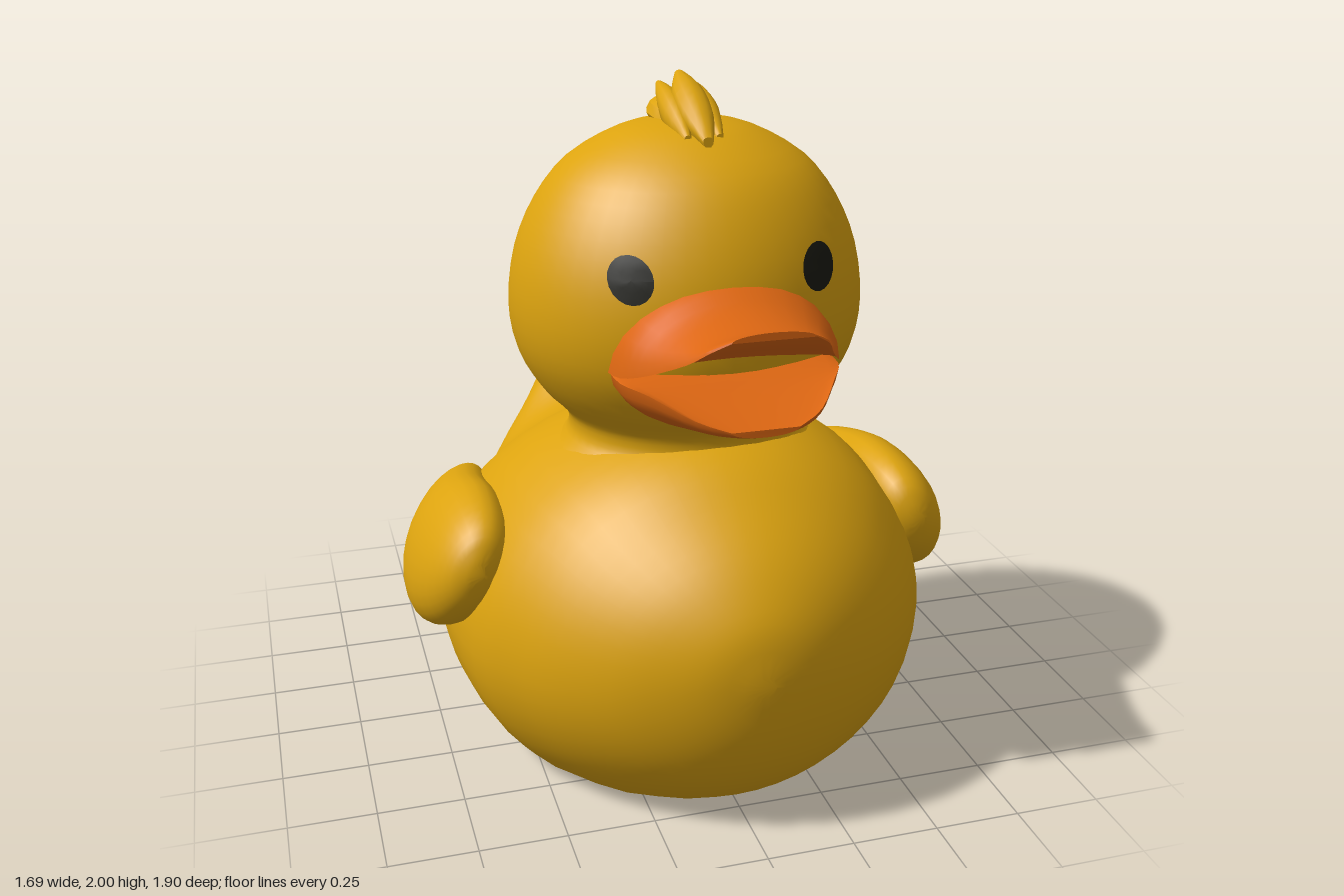
import * as THREE from 'three';
import { toCreasedNormals } from 'three/addons/utils/BufferGeometryUtils.js';

const paint = (name, color) => {
  const m = new THREE.MeshStandardMaterial({ color });
  m.name = name;
  return m;
};

// Smooth interpolation through rows of numbers
function smoothRows(rows, steps) {
  const out = [];
  const at = i => rows[Math.min(Math.max(i, 0), rows.length - 1)];
  for (let i = 0; i < rows.length - 1; i++) {
    for (let k = 0; k < steps; k++) {
      const t = k / steps;
      out.push(rows[i].map((_, n) => {
        const [a, b, c, d] = [at(i - 1)[n], at(i)[n], at(i + 1)[n], at(i + 2)[n]];
        return b + 0.5 * t * (c - a + t * (2 * a - 5 * b + 4 * c - d + t * (3 * (b - c) + d - a)));
      }));
    }
  }
  out.push(rows[rows.length - 1]);
  return out;
}

// Closed skin over cross-sections that run from front (+z) to back
function loft(rows, ring, sides, steps = 3, crease = 0.6) {
  const sections = smoothRows(rows, steps);
  const pos = [], index = [];
  for (const row of sections) {
    for (let j = 0; j < sides; j++) pos.push(...ring(row, (j / sides) * Math.PI * 2));
  }
  const last = sections.length - 1;
  for (let i = 0; i < last; i++) {
    for (let j = 0; j < sides; j++) {
      const k = (j + 1) % sides;
      const a = i * sides + j, b = i * sides + k;
      index.push(a, a + sides, b, b, a + sides, b + sides);
    }
  }
  for (let j = 1; j < sides - 1; j++) {
    index.push(0, j, j + 1);
    index.push(last * sides, last * sides + j + 1, last * sides + j);
  }
  const geo = new THREE.BufferGeometry();
  geo.setAttribute('position', new THREE.Float32BufferAttribute(pos, 3));
  geo.setIndex(index);
  return toCreasedNormals(geo, crease);
}

// Row: z, half width, height of widest point, top, bottom; kept above the ground
const oval = (offset = 0) => ([z, w, mid, top, bottom], a) => {
  const s = Math.sin(a);
  return [offset + w * Math.cos(a), Math.max(0, mid + (s > 0 ? top - mid : mid - bottom) * s), z];
};

export function createModel() {
  const duck = new THREE.Group();
  duck.name = 'duck';
  const yellow = paint('yellow', 0xdca30f);
  const orange = paint('orange', 0xdc6612);
  const black = paint('black', 0x1a1a12);
  const add = (name, geo, mat) => {
    const mesh = new THREE.Mesh(geo, mat);
    mesh.name = name;
    duck.add(mesh);
    return mesh;
  };

  // Body with flat base and upturned tail
  add('body', loft([
    [0.95, 0.03, 0.5, 0.53, 0.47],
    [0.93, 0.14, 0.5, 0.64, 0.33],
    [0.88, 0.26, 0.48, 0.73, 0.2],
    [0.8, 0.39, 0.45, 0.82, 0.09],
    [0.68, 0.52, 0.43, 0.91, -0.01],
    [0.55, 0.61, 0.42, 0.99, -0.09],
    [0.38, 0.69, 0.4, 1.03, -0.15],
    [0.1, 0.73, 0.4, 1.04, -0.17],
    [-0.12, 0.71, 0.4, 0.99, -0.16],
    [-0.3, 0.65, 0.42, 0.88, -0.13],
    [-0.45, 0.575, 0.42, 0.835, -0.06],
    [-0.55, 0.515, 0.43, 0.83, 0],
    [-0.65, 0.45, 0.46, 0.87, 0.06],
    [-0.75, 0.36, 0.5, 0.95, 0.16],
    [-0.82, 0.29, 0.57, 1.01, 0.27],
    [-0.87, 0.23, 0.65, 1.035, 0.37],
    [-0.91, 0.16, 0.72, 1.0, 0.5],
    [-0.94, 0.09, 0.77, 0.92, 0.63],
    [-0.95, 0.02, 0.8, 0.83, 0.77],
  ], oval(), 48), yellow);

  // Head and neck, slightly shallower than wide
  const headZ = 0.185, headDepth = 0.91;
  const profile = smoothRows([
    [0.42, 0.91], [0.355, 0.97], [0.345, 1.02], [0.365, 1.06], [0.43, 1.13], [0.49, 1.24],
    [0.51, 1.37], [0.49, 1.52], [0.43, 1.66], [0.34, 1.77], [0.2, 1.85], [0.08, 1.878], [0, 1.88],
  ], 3).map(([r, y]) => new THREE.Vector2(Math.max(0, r), y));
  const head = add('head', new THREE.LatheGeometry(profile, 48), yellow);
  head.scale.z = headDepth;
  head.position.z = headZ;

  const headSurfaceZ = (x, y) => {
    const i = profile.findIndex(p => p.y > y);
    const p = profile[i - 1], q = profile[i];
    const r = p.x + (q.x - p.x) * (y - p.y) / (q.y - p.y);
    return headZ + headDepth * Math.sqrt(r * r - x * x);
  };

  for (const side of [1, -1]) {
    const label = side > 0 ? 'left' : 'right';

    // Eye: thin oval patch following the head
    const eye = new THREE.RingGeometry(0, 0.055, 20, 4);
    const p = eye.attributes.position;
    for (let i = 0; i < p.count; i++) {
      const x = side * 0.26 + p.getX(i), y = 1.53 + p.getY(i) * 1.15;
      p.setXYZ(i, x, y, headSurfaceZ(x, y) + 0.008);
    }
    eye.computeVertexNormals();
    add(label + 'Eye', eye, black);

    // Wing: leaning teardrop; row is z, centre x, centre y, half thickness, half height
    const lean = side * 0.4;
    add(label + 'Wing', loft([
      [0.42, 0.67, 0.67, 0.02, 0.03],
      [0.39, 0.67, 0.665, 0.07, 0.11],
      [0.3, 0.68, 0.64, 0.11, 0.185],
      [0.15, 0.69, 0.61, 0.13, 0.23],
      [0, 0.69, 0.595, 0.13, 0.22],
      [-0.15, 0.66, 0.59, 0.115, 0.185],
      [-0.27, 0.62, 0.6, 0.085, 0.13],
      [-0.33, 0.595, 0.62, 0.05, 0.075],
      [-0.35, 0.585, 0.63, 0.02, 0.02],
    ], ([z, cx, cy, t, h], a) => {
      const u = t * Math.cos(a), v = h * Math.sin(a);
      return [
        side * cx + u * Math.cos(lean) - v * Math.sin(lean),
        cy + u * Math.sin(lean) + v * Math.cos(lean), z];
    }, 28), yellow);
  }

  // Open bill
  add('upperBill', loft([
    [0.95, 0.11, 1.465, 1.485, 1.47],
    [0.92, 0.155, 1.435, 1.475, 1.448],
    [0.85, 0.195, 1.385, 1.46, 1.41],
    [0.72, 0.26, 1.32, 1.475, 1.36],
    [0.62, 0.305, 1.285, 1.515, 1.31],
    [0.5, 0.32, 1.27, 1.53, 1.28],
  ], oval(), 28), orange);
  add('lowerBill', loft([
    [0.905, 0.09, 1.215, 1.21, 1.195],
    [0.85, 0.17, 1.235, 1.22, 1.175],
    [0.72, 0.255, 1.265, 1.25, 1.14],
    [0.62, 0.305, 1.27, 1.28, 1.12],
    [0.5, 0.31, 1.27, 1.29, 1.12],
  ], oval(), 28), orange);

  // Tuft of swept-back feathers
  const tuft = new THREE.Group();
  tuft.name = 'tuft';
  duck.add(tuft);
  const frontFeather = [
    [0.4, 0.015, 1.85, 1.86, 1.83],
    [0.3, 0.045, 1.9, 1.94, 1.84],
    [0.2, 0.045, 1.945, 1.985, 1.88],
    [0.12, 0.015, 1.985, 2.0, 1.965],
  ];
  const sideFeather = [
    [0.36, 0.01, 1.85, 1.86, 1.83],
    [0.25, 0.035, 1.89, 1.93, 1.83],
    [0.15, 0.03, 1.93, 1.96, 1.88],
    [0.07, 0.01, 1.955, 1.965, 1.945],
  ];
  const backFeather = [
    [0.28, 0.05, 1.86, 1.91, 1.82],
    [0.12, 0.095, 1.885, 1.935, 1.83],
    [0.04, 0.05, 1.905, 1.93, 1.87],
    [-0.02, 0.008, 1.925, 1.935, 1.915],
  ];
  for (const [rows, x] of [[frontFeather, 0], [sideFeather, 0.045], [sideFeather, -0.045], [backFeather, 0]]) {
    tuft.add(add('feather', loft(rows, oval(x), 12), yellow));
  }
  return duck;
}
